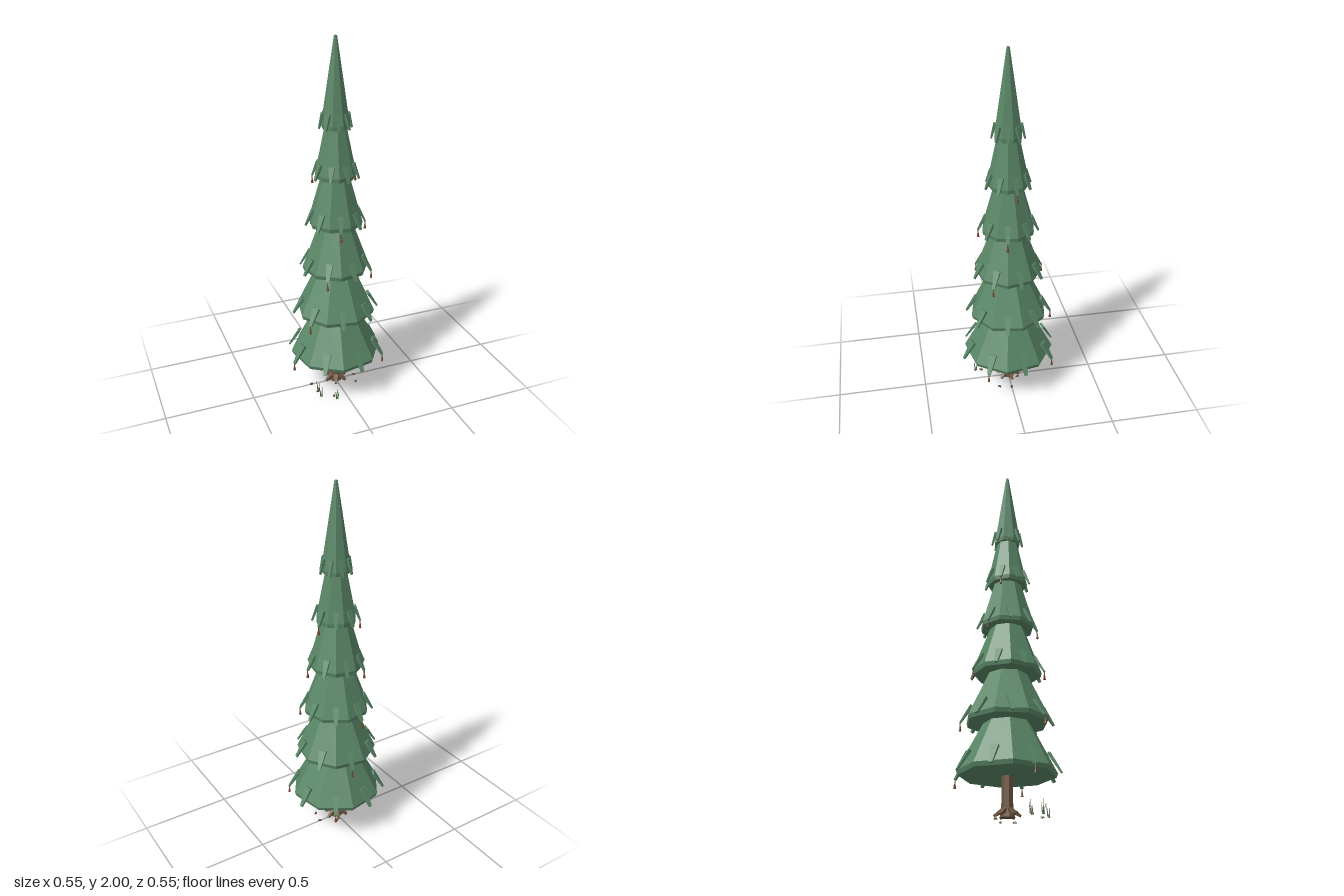
import * as THREE from 'three';

const rad = THREE.MathUtils.degToRad;
const flat = (color) => new THREE.MeshStandardMaterial({ color, flatShading: true });
const mats = {
  needles: flat(0x5a8767),
  bark: flat(0x6e543f),
  cone: flat(0x7a4a32),
  grass: flat(0x4f7045),
  chip: flat(0x66553c),
};

function add(parent, name, geometry, material, x = 0, y = 0, z = 0) {
  const mesh = new THREE.Mesh(geometry, material);
  mesh.name = name;
  mesh.position.set(x, y, z);
  parent.add(mesh);
  return mesh;
}

// Tapered slab lying in the xy plane, wide at the upper end and narrow at the tip
function slab(tip, cap, tipWidth, capWidth, tipThick, capThick) {
  const geo = new THREE.BoxGeometry(1, 1, 1);
  const p = geo.attributes.position;
  const u = cap.clone().sub(tip).normalize();
  for (let i = 0; i < p.count; i++) {
    const upper = p.getY(i) > 0;
    const c = upper ? cap : tip;
    const t = p.getX(i) * (upper ? capThick : tipThick);
    p.setXYZ(i, c.x + u.y * t, c.y - u.x * t, p.getZ(i) * (upper ? capWidth : tipWidth));
  }
  geo.computeVertexNormals();
  return geo;
}

// Small cone hanging by a short stem below a branch tip
function pineCone(parent, x, y) {
  const g = new THREE.Group();
  g.name = 'pineCone';
  g.position.set(x, y, 0);
  add(g, 'stem', new THREE.CylinderGeometry(0.003, 0.003, 0.03, 5), mats.bark, 0, -0.008, 0);
  add(g, 'coneBody', new THREE.CylinderGeometry(0.004, 0.0075, 0.024, 6), mats.cone, 0, -0.031, 0);
  parent.add(g);
}

// y: hem height, r: hem radius, top: [radius, height], tip/cap: branch radii, h: branch height
const tiers = [
  { y: 0.207, r: 0.255, top: [0.105, 0.51], tip: 0.275, cap: 0.215, h: 0.1, cones: [7, 1, 4] },
  { y: 0.475, r: 0.22, top: [0.092, 0.77], tip: 0.24, cap: 0.185, h: 0.09, cones: [6, 3] },
  { y: 0.74, r: 0.183, top: [0.08, 1.04], tip: 0.2, cap: 0.15, h: 0.088, cones: [6, 1, 3] },
  { y: 1.005, r: 0.148, top: [0.07, 1.3], tip: 0.163, cap: 0.122, h: 0.085, cones: [5, 0, 2] },
  { y: 1.27, r: 0.11, top: [0.053, 1.565], tip: 0.126, cap: 0.094, h: 0.082, cones: [0, 5] },
  { y: 1.535, r: 0.075, top: [0.008, 2], tip: 0.086, cap: 0.066, h: 0.08, cones: [] },
];

export function createModel() {
  const model = new THREE.Group();
  model.name = 'pineTree';

  // Trunk and spreading roots
  const trunk = [[0, 0.005], [0.037, 0.005], [0.031, 0.05], [0.028, 0.24], [0, 0.24]];
  add(model, 'trunk', new THREE.LatheGeometry(trunk.map((q) => new THREE.Vector2(...q)), 8), mats.bark);
  for (let k = 0; k < 6; k++) {
    const root = add(model, 'root', slab(new THREE.Vector2(0.066, 0.012), new THREE.Vector2(0.022, 0.04),
      0.012, 0.026, 0.01, 0.022), mats.bark);
    root.rotation.y = rad(60 * k + 12);
  }

  // Foliage tiers, each turned half a facet from the one below
  tiers.forEach((t, i) => {
    const tier = new THREE.Group();
    tier.name = 'foliageTier';
    model.add(tier);
    const odd = i % 2 === 1;
    const profile = [[0, t.y], [t.r * 0.97, t.y], [t.r, t.y + 0.022], t.top, [0, t.top[1]]];
    add(tier, 'skirt', new THREE.LatheGeometry(profile.map((q) => new THREE.Vector2(...q)), 8,
      rad(odd ? 11.25 : 33.75)), mats.needles);

    // Drooping branches at the middle of each facet
    const width = 0.045 - 0.0035 * i;
    for (let k = 0; k < 8; k++) {
      const branch = new THREE.Group();
      branch.name = 'branch';
      branch.rotation.y = -rad((odd ? 11.25 : -11.25) + 45 * k);
      add(branch, 'branchSlab', slab(new THREE.Vector2(t.tip, t.y), new THREE.Vector2(t.cap, t.y + t.h),
        width * 0.38, width, 0.009, 0.016), mats.needles);
      if (t.cones.includes(k)) pineCone(branch, t.tip, t.y);
      tier.add(branch);
    }
  });

  // Grass tufts beside the trunk
  for (const [x, z] of [[-0.14, 0.135], [-0.135, 0.075], [-0.065, 0.19]]) {
    for (let k = 0; k < 3; k++) {
      const a = k * 2.1 + x * 20;
      const h = 0.075 - 0.012 * k;
      const blade = add(model, 'grassBlade', new THREE.ConeGeometry(0.004, h, 4), mats.grass,
        x + 0.008 * Math.cos(a), h / 2 + 0.005, z + 0.008 * Math.sin(a));
      blade.rotation.set(0.12 * Math.sin(a), 0, -0.12 * Math.cos(a));
    }
  }

  // Fallen chips on the ground
  [[-0.15, 0], [-0.07, 0.155], [0.115, 0], [0.1, 0.07], [0.03, -0.05], [-0.14, 0.08]].forEach(([x, z], k) => {
    const chip = add(model, 'groundChip', new THREE.CylinderGeometry(0.009, 0.012, 0.007, 6), mats.chip, x, 0.0035, z);
    chip.scale.z = 0.6;
    chip.rotation.y = k * 1.3;
  });

  return model;
}
